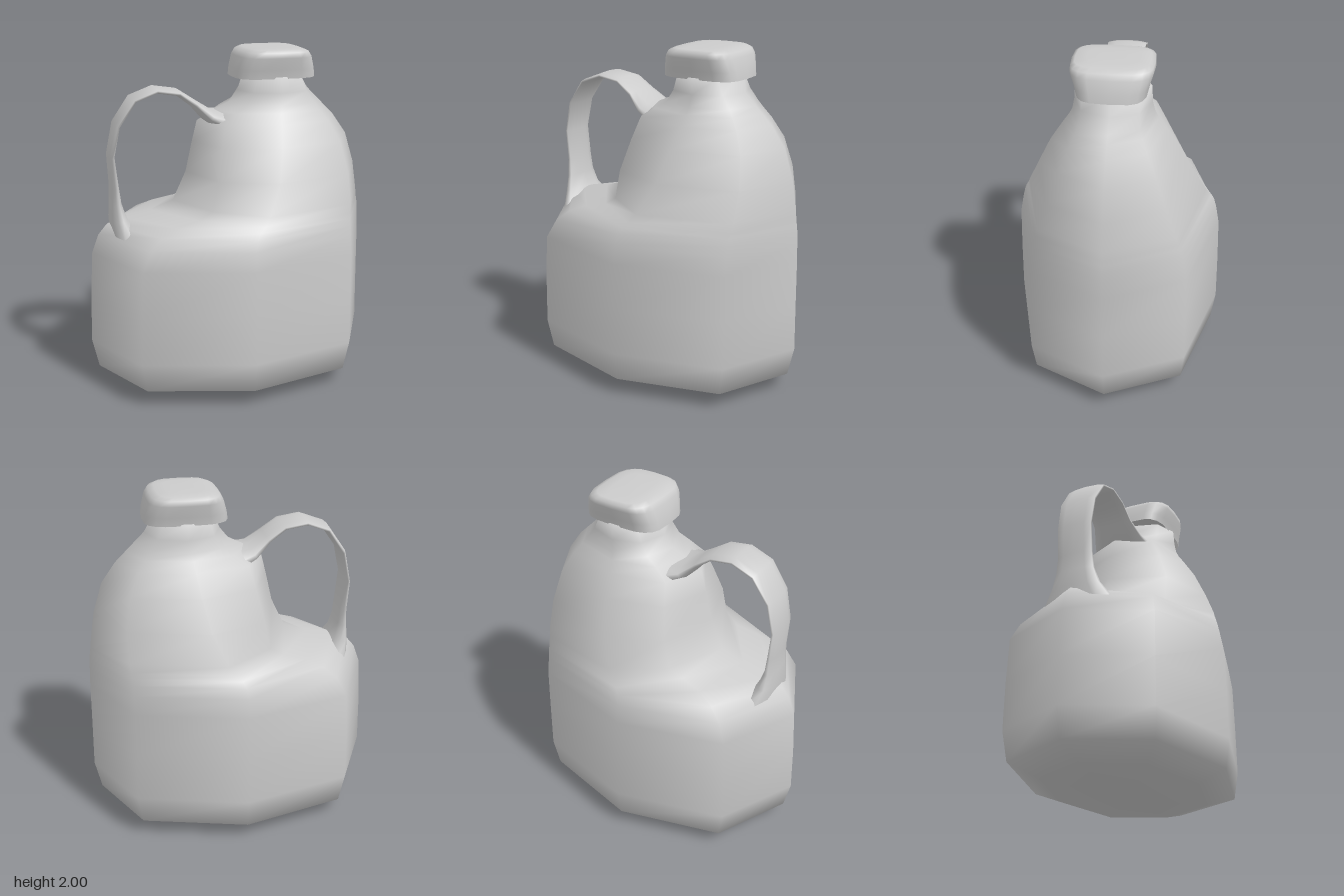
import * as THREE from 'three';

const material = new THREE.MeshStandardMaterial({ color: 0xcccccc, side: THREE.DoubleSide });

// Skin a list of equal-length point rings; the ends may be closed with a centre point.
function loft(name, rings, startCentre, endCentre) {
  const n = rings[0].length;
  const points = rings.flat();
  const index = [];
  for (let i = 0; i < rings.length - 1; i++) {
    for (let j = 0; j < n; j++) {
      const a = i * n + j, b = i * n + (j + 1) % n;
      index.push(a, a + n, b, b, a + n, b + n);
    }
  }
  const last = (rings.length - 1) * n;
  if (startCentre) {
    const c = points.push(startCentre) - 1;
    for (let j = 0; j < n; j++) index.push(c, j, (j + 1) % n);
  }
  if (endCentre) {
    const c = points.push(endCentre) - 1;
    for (let j = 0; j < n; j++) index.push(c, last + (j + 1) % n, last + j);
  }
  const geometry = new THREE.BufferGeometry().setFromPoints(points);
  geometry.setIndex(index);
  geometry.computeVertexNormals();
  const mesh = new THREE.Mesh(geometry, material);
  mesh.name = name;
  return mesh;
}

const v = (x, y, z) => new THREE.Vector3(x, y, z);

// Eight-sided body: height, left x, right x, half depth, middle x, left corner scale
function makeBody() {
  const rows = [
    [0.03, -0.57, 0.57, 0.42, 0, 1],
    [0.10, -0.81, 0.81, 0.595, 0, 1],
    [0.27, -0.85, 0.85, 0.62, 0, 1],
    [0.55, -0.845, 0.847, 0.617, 0, 1],
    [0.82, -0.83, 0.845, 0.61, 0, 1],
    [0.93, -0.79, 0.842, 0.59, 0, 0.96],
    [0.99, -0.74, 0.84, 0.575, 0.01, 0.9],
    [1.03, -0.66, 0.835, 0.56, 0.03, 0.83],
    [1.06, -0.48, 0.83, 0.545, 0.06, 0.8],
    [1.11, -0.34, 0.825, 0.525, 0.1, 0.86],
    [1.28, -0.26, 0.80, 0.45, 0.18, 1],
    [1.46, -0.22, 0.745, 0.365, 0.22, 1],
    [1.58, -0.19, 0.66, 0.29, 0.24, 1],
    [1.64, -0.09, 0.60, 0.25, 0.25, 1],
    [1.68, 0, 0.56, 0.23, 0.26, 1],
    [1.75, 0.055, 0.49, 0.215, 0.27, 1],
    [1.84, 0.09, 0.44, 0.21, 0.265, 1],
  ];
  const rings = rows.map(([y, left, right, depth, mid, s]) => {
    const rx = mid + 0.74 * (right - mid), rz = 0.73 * depth;
    const lx = mid + 0.74 * (left - mid) * s, lz = rz * s;
    return [
      v(right, y, 0), v(rx, y, rz), v(mid, y, depth), v(lx, y, lz),
      v(left, y, 0), v(lx, y, -lz), v(mid, y, -depth), v(rx, y, -rz),
    ];
  });
  return loft('body', rings, v(0, 0, 0), v(0.265, 1.85, 0));
}

// Strap handle: path x, y, half thickness, half width; flared at both roots
function makeHandle() {
  const path = [
    [-0.64, 0.93, 0.08, 0.22],
    [-0.675, 1.03, 0.05, 0.15],
    [-0.685, 1.12, 0.033, 0.12],
    [-0.69, 1.22, 0.024, 0.11],
    [-0.705, 1.4, 0.018, 0.11],
    [-0.668, 1.58, 0.018, 0.115],
    [-0.57, 1.723, 0.018, 0.12],
    [-0.44, 1.772, 0.018, 0.12],
    [-0.31, 1.752, 0.018, 0.12],
    [-0.215, 1.685, 0.022, 0.125],
    [-0.13, 1.61, 0.04, 0.16],
    [-0.02, 1.57, 0.07, 0.2],
  ];
  const sides = 10;
  const rings = path.map(([x, y, thick, wide], i) => {
    const p = path[Math.max(i - 1, 0)], q = path[Math.min(i + 1, path.length - 1)];
    const t = new THREE.Vector2(q[0] - p[0], q[1] - p[1]).normalize();
    return Array.from({ length: sides }, (_, j) => {
      const a = j / sides * Math.PI * 2;
      const u = thick * Math.cos(a);
      return v(x + t.y * u, y - t.x * u, wide * Math.sin(a));
    });
  });
  return loft('handle', rings);
}

// Rounded-square cap, open underneath: height, half width, half depth
function makeCap() {
  const rows = [
    [1.83, 0.242, 0.195],
    [1.88, 0.235, 0.205],
    [1.95, 0.215, 0.228],
    [1.98, 0.195, 0.226],
    [1.995, 0.16, 0.205],
    [2.0, 0.10, 0.14],
  ];
  const sides = 20;
  const soft = (c) => Math.sign(c) * Math.abs(c) ** 0.55;
  const rings = rows.map(([y, w, d]) => Array.from({ length: sides }, (_, j) => {
    const a = j / sides * Math.PI * 2;
    return v(0.262 + w * soft(Math.cos(a)), y, d * soft(Math.sin(a)));
  }));
  return loft('cap', rings, null, v(0.262, 2, 0));
}

export function createModel() {
  const group = new THREE.Group();
  group.name = 'jug';
  group.add(makeBody(), makeHandle(), makeCap());
  return group;
}
